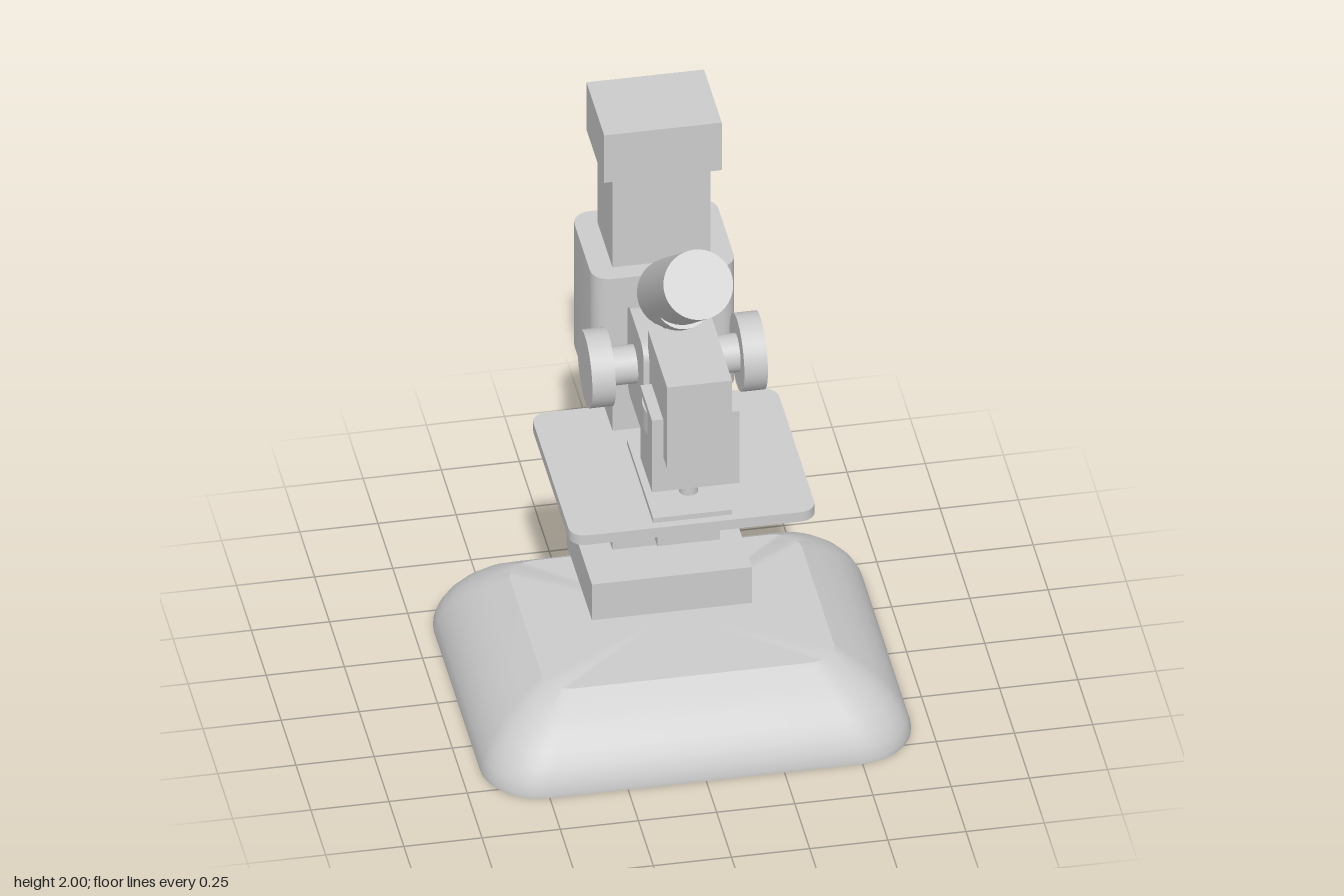
import * as THREE from 'three';
import { toCreasedNormals } from 'three/addons/utils/BufferGeometryUtils.js';

const material = new THREE.MeshStandardMaterial({ color: 0xcccccc });

function add(parent, name, geometry, x = 0, y = 0, z = 0) {
  const mesh = new THREE.Mesh(geometry, material);
  mesh.name = name;
  mesh.position.set(x, y, z);
  parent.add(mesh);
  return mesh;
}

// Box symmetric in x, given half width and its y and z limits
function block(parent, name, halfX, y0, y1, z0, z1) {
  return add(parent, name, new THREE.BoxGeometry(halfX * 2, y1 - y0, z1 - z0),
    0, (y0 + y1) / 2, (z0 + z1) / 2);
}

// Outline of a rounded rectangle, centred on the origin
function roundedOutline(hx, hy, r, steps = 8) {
  const points = [];
  [[1, 1], [-1, 1], [-1, -1], [1, -1]].forEach(([sx, sy], corner) => {
    for (let i = 0; i <= steps; i++) {
      const a = (corner + i / steps) * Math.PI / 2;
      points.push(new THREE.Vector2(sx * (hx - r) + r * Math.cos(a), sy * (hy - r) + r * Math.sin(a)));
    }
  });
  return points;
}

// Rounded rectangle slab, extruded along z and centred
function slab(hx, hy, depth, r) {
  const geometry = new THREE.ExtrudeGeometry(new THREE.Shape(roundedOutline(hx, hy, r)),
    { depth, bevelEnabled: false });
  geometry.translate(0, 0, -depth / 2);
  return toCreasedNormals(geometry, 0.6);
}

// Domed base lofted through shrinking rounded rectangles
function baseGeometry() {
  const levels = [[0, 0], [0.015, 0], [0.05, 0.01], [0.09, 0.03], [0.13, 0.06],
    [0.17, 0.1], [0.21, 0.154], [0.253, 0.22]]; // height, inset
  const positions = [], index = [];
  let n = 0;
  for (const [y, inset] of levels) {
    const ring = roundedOutline(0.687 - inset, 0.576 - inset, 0.19 - inset * 0.45, 10);
    n = ring.length;
    ring.forEach(p => positions.push(p.x, y, p.y));
  }
  const last = (levels.length - 1) * n, bottom = levels.length * n, top = bottom + 1;
  positions.push(0, 0, 0, 0, 0.253, 0);
  for (let j = 0; j < n; j++) {
    const k = (j + 1) % n;
    for (let row = 0; row < last; row += n) {
      index.push(row + j, row + n + j, row + k, row + k, row + n + j, row + n + k);
    }
    index.push(bottom, j, k, top, last + k, last + j);
  }
  const geometry = new THREE.BufferGeometry();
  geometry.setAttribute('position', new THREE.Float32BufferAttribute(positions, 3));
  geometry.setIndex(index);
  return toCreasedNormals(geometry, 0.5);
}

export function createModel() {
  const model = new THREE.Group();
  model.name = 'microscope';

  // Base and column
  add(model, 'base', baseGeometry());
  block(model, 'columnFoot', 0.256, 0.25, 0.39, -0.428, 0);
  block(model, 'footTab', 0.12, 0.245, 0.33, -0.45, -0.37);
  block(model, 'column', 0.157, 0.3, 1.83, -0.425, -0.175);
  block(model, 'columnCap', 0.188, 1.818, 2, -0.448, -0.152);

  // Carriage sliding on the column
  add(model, 'carriage', slab(0.23, 0.189, 0.468, 0.06), 0, 1.24, -0.301).rotation.x = -Math.PI / 2;
  block(model, 'carriageRail', 0.075, 1.006, 1.474, -0.548, -0.4);

  // Stage and its support
  add(model, 'stage', slab(0.393, 0.343, 0.036, 0.05), 0, 0.829, 0.03).rotation.x = -Math.PI / 2;
  block(model, 'slidePlate', 0.126, 0.84, 0.865, -0.09, 0.345);
  block(model, 'stageBracket', 0.22, 0.667, 0.764, -0.325, 0.052);
  block(model, 'condenserBlock', 0.1, 0.71, 0.815, 0, 0.28);

  // Focus arm with a shaft and knob on each side
  add(model, 'focusArm', slab(0.138, 0.167, 0.244, 0.05), 0, 1.218, 0.028).rotation.y = Math.PI / 2;
  for (const side of [1, -1]) {
    const knob = new THREE.Group();
    knob.name = side > 0 ? 'leftFocusKnob' : 'rightFocusKnob';
    knob.position.set(0, 1.23, 0.013);
    knob.rotation.z = -side * Math.PI / 2;
    add(knob, 'shaft', new THREE.CylinderGeometry(0.062, 0.062, 0.13, 32), 0, 0.155, 0);
    add(knob, 'wheel', new THREE.CylinderGeometry(0.125, 0.125, 0.075, 32), 0, 0.243, 0);
    model.add(knob);
  }

  // Optical head, turret disc and objective
  block(model, 'headHousing', 0.104, 1.136, 1.446, 0.145, 0.464);
  block(model, 'nosepiece', 0.14, 1.005, 1.28, 0.203, 0.4);
  add(model, 'turretDisc', new THREE.CylinderGeometry(0.147, 0.147, 0.08, 40), 0, 1.215, 0.278);
  add(model, 'objectiveCollar', new THREE.CylinderGeometry(0.052, 0.052, 0.025, 32), 0, 0.997, 0.278);
  add(model, 'objective', new THREE.CylinderGeometry(0.03, 0.03, 0.1, 32), 0, 0.96, 0.278);

  // Tilted eyepiece tube with a seat underneath
  const eyepiece = new THREE.Group();
  eyepiece.name = 'eyepiece';
  eyepiece.position.set(0, 1.644, 0.22);
  eyepiece.rotation.x = 0.922;
  add(eyepiece, 'eyepieceTube', new THREE.CylinderGeometry(0.111, 0.111, 0.558, 40));
  add(eyepiece, 'tubeSeat', new THREE.CylinderGeometry(0.09, 0.09, 0.13, 32), 0, -0.135, 0.035);
  model.add(eyepiece);

  return model;
}
